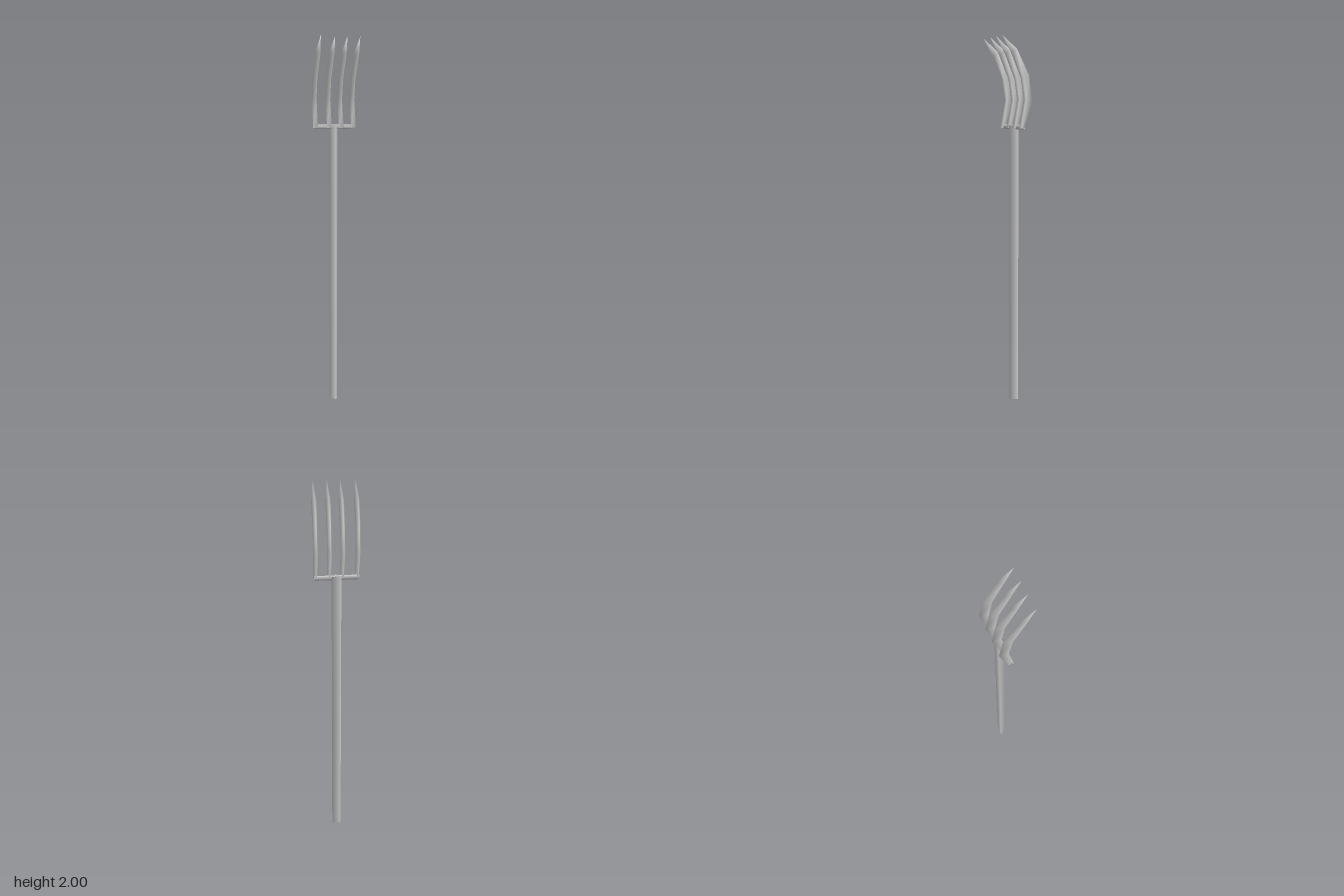
import * as THREE from 'three';

const material = new THREE.MeshStandardMaterial({ color: 0xcccccc, side: THREE.DoubleSide });

// Open three-sided rod with its ridge facing front and a flat back
function rod(name, radius, length) {
  const mesh = new THREE.Mesh(
    new THREE.CylinderGeometry(radius, radius, length, 3, 1, true), material);
  mesh.name = name;
  return mesh;
}

// Curved tine: triangular rings (two front corners, one back ridge) closing to a tip
function tineGeometry() {
  const half = 0.0132;
  const ridgeX = -0.001;
  // front y, front z, back y, back z
  const rings = [
    [1.53, -0.016, 1.535, -0.049],
    [1.68, -0.044, 1.67, -0.088],
    [1.79, -0.026, 1.805, -0.068],
    [1.915, 0.031, 1.935, 0.003],
  ];
  const positions = [];
  const index = [];
  for (const [fy, fz, by, bz] of rings) {
    positions.push(-half, fy, fz, half, fy, fz, ridgeX, by, bz);
  }
  const tip = rings.length * 3;
  positions.push(ridgeX, 2, 0.087);
  for (let i = 0; i < rings.length; i++) {
    for (let j = 0; j < 3; j++) {
      const a = i * 3 + j;
      const b = i * 3 + (j + 1) % 3;
      if (i === rings.length - 1) index.push(a, b, tip);
      else index.push(a, b, b + 3, a, b + 3, a + 3);
    }
  }
  const geometry = new THREE.BufferGeometry();
  geometry.setAttribute('position', new THREE.Float32BufferAttribute(positions, 3));
  geometry.setIndex(index);
  geometry.computeVertexNormals();
  return geometry;
}

export function createModel() {
  const group = new THREE.Group();
  group.name = 'pitchfork';

  // Long handle
  const handle = rod('handle', 0.029, 1.545);
  handle.position.set(0.003, 1.545 / 2, -0.035);
  group.add(handle);

  // Crossbar joining the tines
  const bar = rod('crossbar', 0.0145, 0.23);
  bar.rotation.z = Math.PI / 2;
  bar.position.set(0, 1.537, -0.034);
  group.add(bar);

  // Four tines
  const geometry = tineGeometry();
  [-0.108, -0.031, 0.036, 0.106].forEach((x, i) => {
    const tine = new THREE.Mesh(geometry, material);
    tine.name = `tine${i + 1}`;
    tine.position.x = x;
    group.add(tine);
  });

  return group;
}
